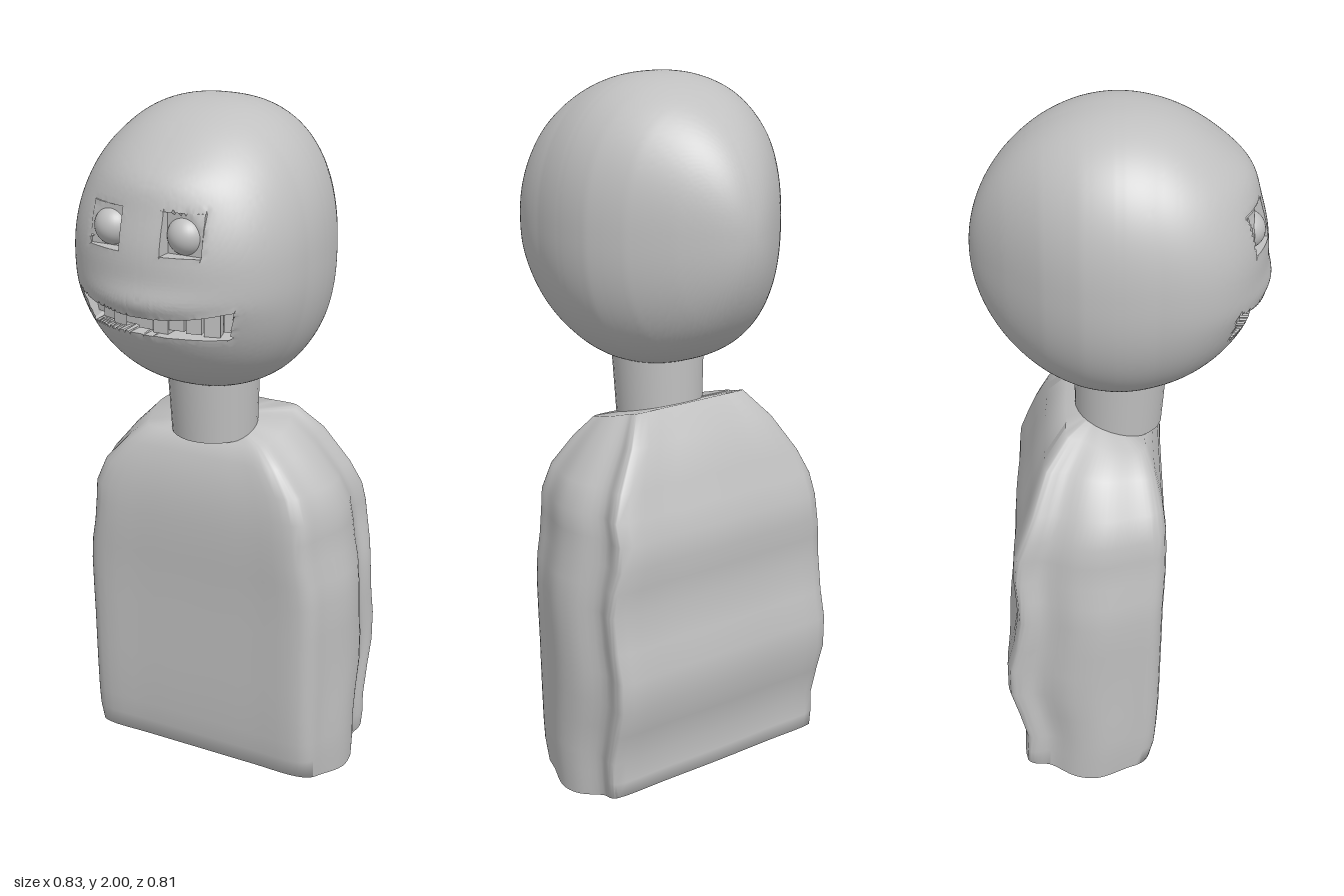
import * as THREE from 'three';
import { toCreasedNormals } from 'three/addons/utils/BufferGeometryUtils.js';

const clay = new THREE.MeshStandardMaterial({ color: 0xc0c0c0 });
clay.name = 'grey clay';
const { clamp, lerp } = THREE.MathUtils;

function add(parent, name, geometry) {
  const mesh = new THREE.Mesh(geometry, clay);
  mesh.name = name;
  parent.add(mesh);
  return mesh;
}

// Linear lookup in an evenly spaced table, u in 0..1
function lookup(table, u) {
  const f = clamp(u, 0, 1) * (table.length - 1);
  const i = Math.min(Math.floor(f), table.length - 2);
  return lerp(table[i], table[i + 1], f - i);
}

// Head: a sphere narrowed in x, with eye sockets and a mouth pressed in
const R = 0.398, HEAD_Y = 1.602, EDGE = 0.008;
const narrowing = [0.55, 0.68, 0.78, 0.835, 0.85, 0.865, 0.91, 0.96, 1]; // back to front

// Pulls a value close to one of two borders onto that border
function snap(v, low, high) {
  if (Math.abs(v - low) < EDGE) return low;
  return Math.abs(v - high) < EDGE ? high : v;
}

// Presses the face in inside a four-sided opening and gives it a clean rim
function press(v, left, right, bottom, top, floor) {
  if (v.x < left - EDGE || v.x > right + EDGE || v.y < bottom - EDGE || v.y > top + EDGE) return;
  const inside = v.x > left && v.x < right && v.y > bottom && v.y < top;
  v.x = snap(v.x, left, right);
  v.y = snap(v.y, bottom, top);
  if (inside) v.z = Math.min(v.z, floor);
}

function headGeometry() {
  const geo = new THREE.SphereGeometry(1, 200, 140).rotateX(Math.PI / 2);
  const p = geo.attributes.position, v = new THREE.Vector3();
  for (let i = 0; i < p.count; i++) {
    const d = new THREE.Vector3().fromBufferAttribute(p, i);
    const n = 2.32 - 0.3 * Math.max(0, d.z);
    const sum = Math.pow(Math.abs(d.x), n) + Math.pow(Math.abs(d.y), n);
    const k = sum > 1e-12 ? R * Math.hypot(d.x, d.y) / Math.pow(sum, 1 / n) : 0;
    v.set(d.x * k * lookup(narrowing, (d.z + 1) / 2), HEAD_Y + d.y * k, d.z * R);
    if (v.z > 0.1) {
      // Upper lip and brow
      v.z += 0.018 * Math.exp(-((v.y - 1.52) ** 2) / 0.002 - v.x * v.x / 0.04);
      v.z += 0.018 * Math.exp(-((v.y - 1.83) ** 2) / 0.004 - v.x * v.x / 0.03);
      press(v, 0.056, 0.16, 1.655, 1.765, 0.345);
      press(v, -0.172, -0.065, 1.655, 1.765, 0.345);
      const side = 0.205 + 0.3 * (v.y - 1.43);
      press(v, -side, side, 1.43, 1.486 + 0.5 * v.x * v.x, v.z - 0.09);
    }
    p.setXYZ(i, v.x, v.y, v.z);
  }
  return toCreasedNormals(geo, 0.7);
}

// Torso levels: height, half width, front z, back z
const levels = [
  [0.015, 0.32, 0.03, -0.2], [0.045, 0.4, 0.088, -0.285], [0.1, 0.405, 0.1, -0.285],
  [0.16, 0.406, 0.105, -0.282], [0.25, 0.407, 0.11, -0.305], [0.33, 0.409, 0.112, -0.328],
  [0.42, 0.41, 0.114, -0.328], [0.5, 0.411, 0.116, -0.308], [0.6, 0.412, 0.118, -0.293],
  [0.67, 0.405, 0.122, -0.297], [0.73, 0.392, 0.125, -0.303], [0.8, 0.384, 0.126, -0.298],
  [0.86, 0.38, 0.124, -0.275], [0.93, 0.348, 0.115, -0.25], [1.0, 0.275, 0.095, -0.21],
  [1.05, 0.21, 0.07, -0.15],
];
// Half cross-section: share of half width, share of depth from front to back
const half = [[0.45, 0], [0.81, 0.005], [0.89, 0.06], [0.93, 0.2], [1, 0.42], [0.985, 0.6],
  [0.9, 0.8], [0.92, 0.92], [0.9, 0.975], [0.45, 0.99]];

function torsoGeometry() {
  const mirrored = half.map(([x, t]) => [-x, t]).reverse();
  const outline = new THREE.CatmullRomCurve3(
    [[0, 0], ...half, [0, 1], ...mirrored].map(([x, t]) => new THREE.Vector3(x, t, 0)), true);
  const N = 88;
  const section = outline.getPoints(N).slice(0, N);
  const pos = [], index = [];
  levels.forEach(([y, w, front, back], i) => {
    const lift = Math.max(0, (y - 0.93) / 0.12) * 0.06;   // shoulders rise to the back
    for (const s of section) {
      const t = clamp(s.y, 0, 1);
      const sag = i === 1 ? 0.033 * Math.sin(Math.PI * t) - 0.015 * t : 0;
      pos.push(s.x * w, y + lift * t - sag, front + (back - front) * s.y);
    }
  });
  for (let i = 0; i < levels.length - 1; i++) for (let j = 0; j < N; j++) {
    const a = i * N + j, b = i * N + (j + 1) % N;
    index.push(a, b, b + N, a, b + N, a + N);
  }
  // Closed underside and collar
  const bottom = levels.length * N, top = bottom + 1, last = (levels.length - 1) * N;
  pos.push(0, 0, -0.08, 0, 1.08, -0.05);
  for (let j = 0; j < N; j++) {
    const k = (j + 1) % N;
    index.push(bottom, k, j, top, last + j, last + k);
  }
  const geo = new THREE.BufferGeometry();
  geo.setAttribute('position', new THREE.Float32BufferAttribute(pos, 3));
  geo.setIndex(index);
  return toCreasedNormals(geo, 1.2);
}

export function createModel() {
  const model = new THREE.Group();
  model.name = 'bust';

  add(model, 'torso', torsoGeometry());

  const neck = add(model, 'neck', new THREE.CylinderGeometry(0.13, 0.122, 0.18, 32));
  neck.position.set(0, 1.145, 0.002);
  neck.rotation.x = 0.04;

  const head = new THREE.Group();
  head.name = 'head';
  model.add(head);
  add(head, 'skull', headGeometry());

  for (const [name, x] of [['leftEye', 0.102], ['rightEye', -0.116]])
    add(head, name, new THREE.SphereGeometry(0.052, 32, 24)).position.set(x, 1.703, 0.325);

  // Row of teeth along the curve of the jaw
  const teeth = new THREE.Group();
  teeth.name = 'teeth';
  head.add(teeth);
  const count = 10;
  for (let i = 0; i < count; i++) {
    const x = (i - (count - 1) / 2) * 0.043;
    const height = 0.072 + (i % 3) * 0.006;
    const tooth = add(teeth, 'tooth', new THREE.BoxGeometry(0.043, height, 0.04));
    tooth.position.set(x, 1.515 - height / 2, Math.sqrt(0.34 ** 2 - x * x) - 0.03);
    tooth.rotation.y = x * 2;
  }
  return model;
}
